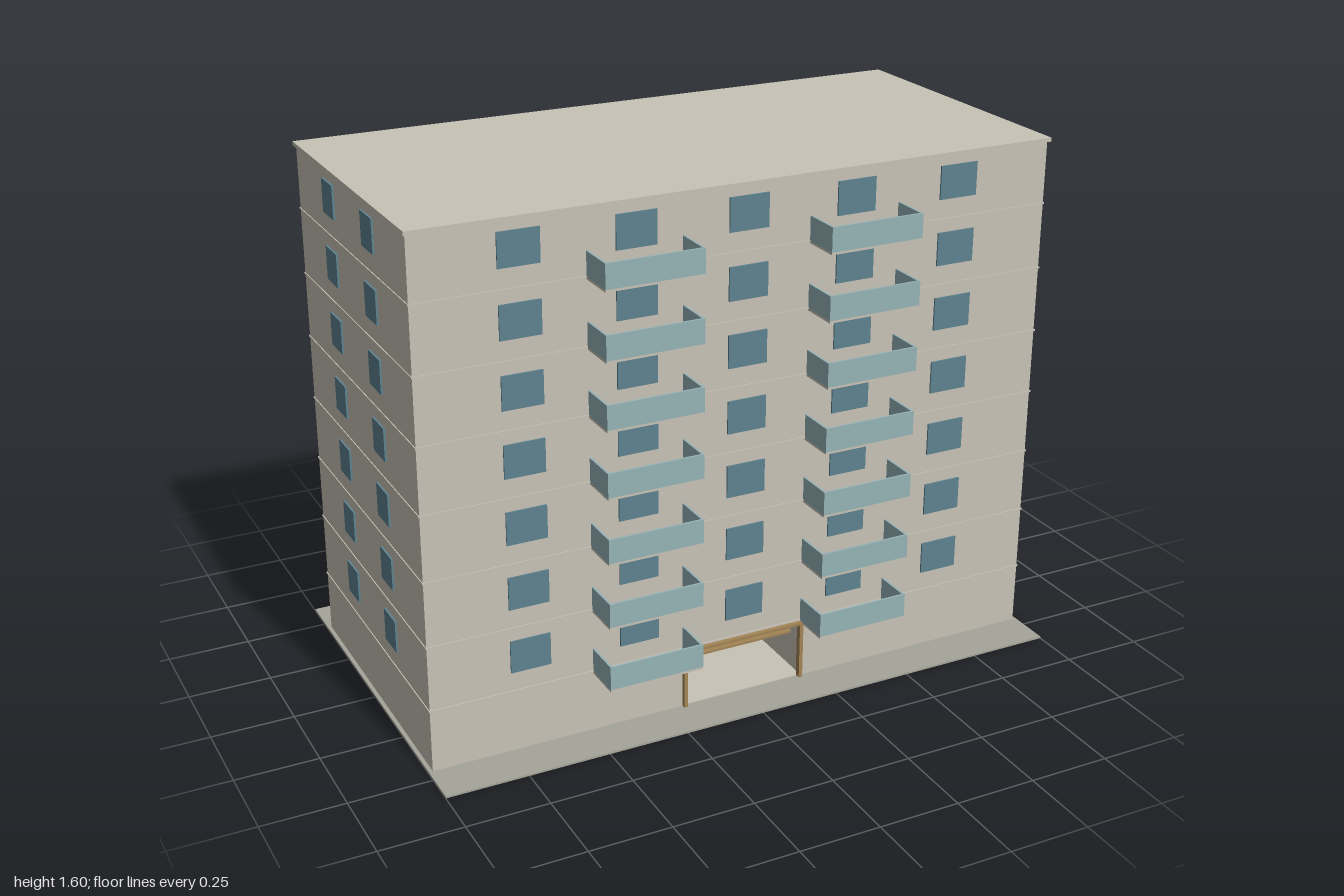
import * as THREE from 'three';

const mat = (color) => new THREE.MeshStandardMaterial({ color });

export function createModel() {
  const root = new THREE.Group();
  root.name = 'apartmentBlock';

  const wall = mat(0xc8c3b6), pavement = mat(0xa5a59a), windowBlue = mat(0x5f8390);
  const panelBlue = mat(0x96b3b6), dark = mat(0x263c48), glass = mat(0xa9bac4);
  const wood = mat(0xa38555), grey = mat(0xcccccc), black = mat(0x333638);

  // Box given by its extents on each axis
  const box = (name, x0, x1, y0, y1, z0, z1, material, parent = root) => {
    const mesh = new THREE.Mesh(new THREE.BoxGeometry(x1 - x0, y1 - y0, z1 - z0), material);
    mesh.position.set((x0 + x1) / 2, (y0 + y1) / 2, (z0 + z1) / 2);
    mesh.name = name;
    parent.add(mesh);
    return mesh;
  };

  const W = 0.988, D = 0.465, storey = 0.2, floors = 7, top = 1.6;

  // Ground and main volumes, leaving a lobby open at the front
  box('pavement', -1, 1, 0, 0.006, -0.6, 0.6, pavement);
  box('upperWalls', -W, W, storey - 0.005, top - 0.012, -D, D, wall);
  box('groundWallRight', -W, -0.2, 0.006, storey - 0.005, -D, D, wall);
  box('groundWallLeft', 0.2, W, 0.006, storey - 0.005, -D, D, wall);
  box('roof', -0.995, 0.995, top - 0.012, top, -0.475, 0.475, wall);

  // Thin joints between storeys
  for (let i = 1; i <= floors; i++) {
    const y = i * storey;
    box('storeyBand', -W - 0.003, W + 0.003, y - 0.003, y + 0.002, -D - 0.003, D + 0.003, wall);
  }

  // Lobby and entrance
  const entrance = new THREE.Group();
  entrance.name = 'entrance';
  root.add(entrance);
  box('lobbyFloor', -0.2, 0.2, 0.006, 0.009, -D, D, wall, entrance);
  box('lobbyBackWall', -0.2, 0.2, 0.006, storey - 0.004, -D - 0.003, -D + 0.01, dark, entrance);
  for (const x of [-0.08, 0.075])
    box('lobbyDoor', x - 0.04, x + 0.04, 0.009, 0.15, -D + 0.01, -D + 0.018, glass, entrance);
  box('mailboxes', -0.2, -0.17, 0.009, 0.09, 0.2, 0.36, wood, entrance);
  for (const s of [-1, 1])
    box('entrancePost', s * 0.195 - 0.006, s * 0.195 + 0.006, 0.006, 0.19, D - 0.005, 0.478, wood, entrance);
  box('entranceHeader', -0.201, 0.201, 0.186, 0.195, D - 0.005, 0.478, wood, entrance);
  box('entranceBar', -0.155, 0.155, 0.174, 0.181, 0.468, 0.484, wood, entrance);

  // Windows on all four sides
  for (let i = 1; i <= floors; i++) {
    const y0 = i * storey + 0.06, y1 = y0 + 0.1;
    for (const s of [-1, 1]) {
      const z = s * D, x = s * W;
      for (const c of [-0.682, -0.342, 0, 0.342, 0.682])
        box('window', c - 0.061, c + 0.061, y0, y1, z - 0.005, z + 0.005, windowBlue);
      for (const c of [-0.168, 0.168])
        box('sideWindow', x - 0.006, x + 0.006, y0, y1, c - 0.047, c + 0.047, windowBlue);
    }
  }

  // Balcony: slab with three solid parapet panels, opening towards the wall
  const balcony = () => {
    const g = new THREE.Group(), h = 0.147, t = 0.007, d = 0.12;
    g.name = 'balcony';
    box('balconySlab', -h, h, 0, 0.007, -0.005, d, wall, g);
    box('balconyFront', -h, h, 0.007, 0.08, d - t, d, panelBlue, g);
    for (const s of [-1, 1]) {
      const x = s * (h - t / 2);
      box('balconySide', x - t / 2, x + t / 2, 0.007, 0.08, 0, d - t, panelBlue, g);
    }
    return g;
  };
  for (let i = 1; i <= floors; i++)
    for (const back of [false, true])
      for (const x of [-0.342, 0.342]) {
        const b = balcony();
        b.position.set(x, i * storey - 0.008, back ? -D : D);
        b.rotation.y = back ? Math.PI : 0;
        root.add(b);
      }

  // Air conditioners along the back of the first storey
  for (const x of [-0.668, -0.222, 0.222, 0.668]) {
    const g = new THREE.Group();
    g.name = 'airConditioner';
    box('unitCase', -0.025, 0.025, -0.018, 0.018, 0.004, 0.029, grey, g);
    box('unitBracket', -0.02, 0.02, -0.021, -0.018, -0.002, 0.026, black, g);
    box('unitMount', -0.015, 0.015, -0.012, 0.012, -0.002, 0.004, black, g);
    const fan = new THREE.Mesh(new THREE.CylinderGeometry(0.013, 0.013, 0.002, 16), black);
    fan.name = 'unitFan';
    fan.rotation.x = Math.PI / 2;
    fan.position.set(-0.006, 0, 0.0295);
    g.add(fan);
    g.position.set(x, 0.347, -D);
    g.rotation.y = Math.PI;
    root.add(g);
  }

  return root;
}
